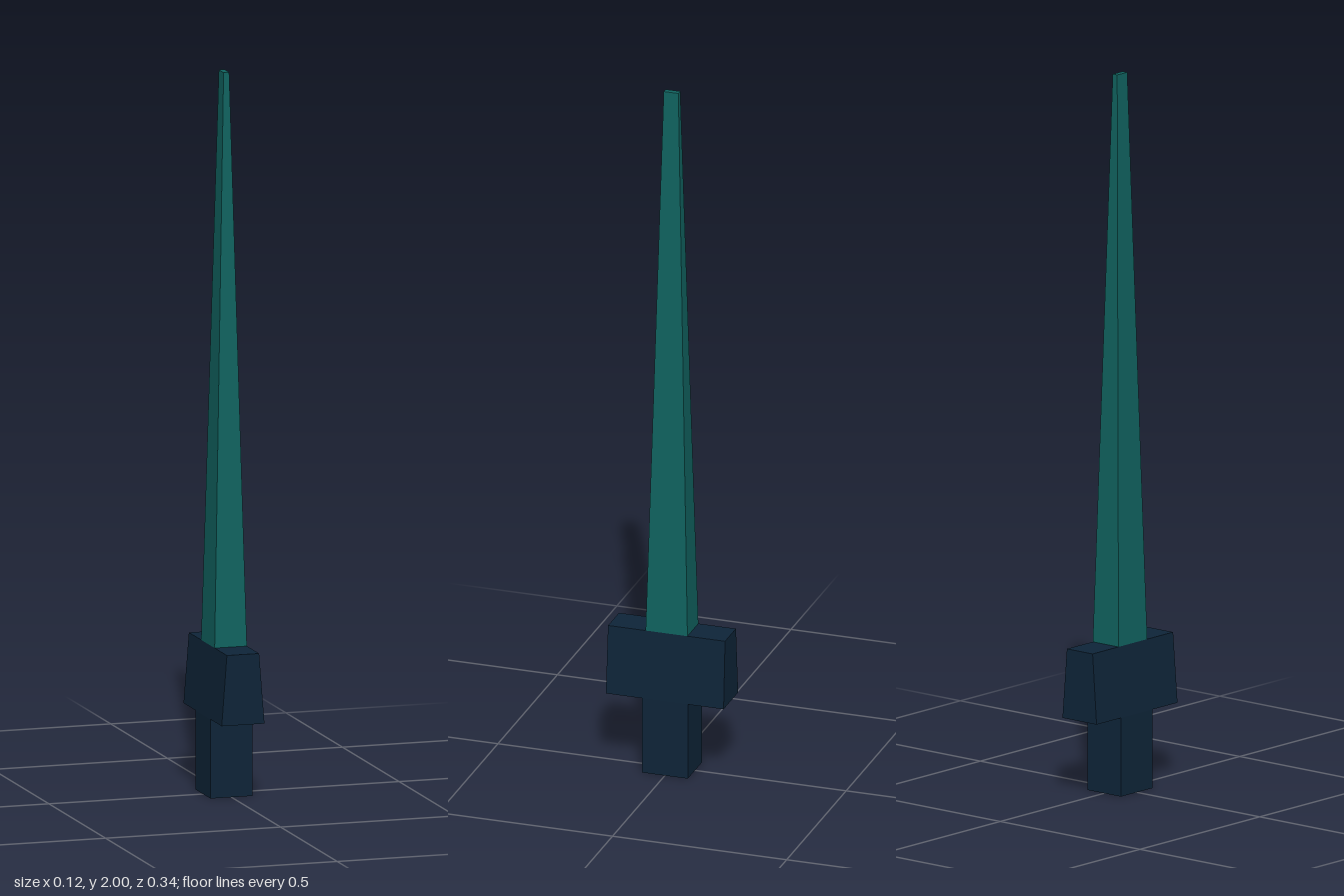
import * as THREE from 'three';

// Box from y0 to y1 whose top face has its own half width and half depth
function taperedBox(name, material, y0, y1, [bottomX, bottomZ], [topX, topZ]) {
  const geometry = new THREE.BoxGeometry(2, y1 - y0, 2);
  geometry.translate(0, (y0 + y1) / 2, 0);
  const p = geometry.attributes.position;
  const middle = (y0 + y1) / 2;
  for (let i = 0; i < p.count; i++) {
    const top = p.getY(i) > middle;
    p.setX(i, p.getX(i) * (top ? topX : bottomX));
    p.setZ(i, p.getZ(i) * (top ? topZ : bottomZ));
  }
  geometry.computeVertexNormals();
  const mesh = new THREE.Mesh(geometry, material);
  mesh.name = name;
  return mesh;
}

export function createModel() {
  const darkNavy = new THREE.MeshStandardMaterial({ color: 0x0e2438 });
  darkNavy.name = 'darkNavy';
  const deepTeal = new THREE.MeshStandardMaterial({ color: 0x10625f });
  deepTeal.name = 'deepTeal';

  const group = new THREE.Group();
  group.name = 'sword';
  group.add(
    // Square grip
    taperedBox('grip', darkNavy, 0, 0.22, [0.06, 0.066], [0.06, 0.066]),
    // Crossguard, narrowing upwards to the blade's thickness
    taperedBox('crossguard', darkNavy, 0.22, 0.415, [0.061, 0.169], [0.046, 0.168]),
    // Long blade with a blunt tip
    taperedBox('blade', deepTeal, 0.415, 2, [0.046, 0.06], [0.008, 0.021]),
  );
  return group;
}
